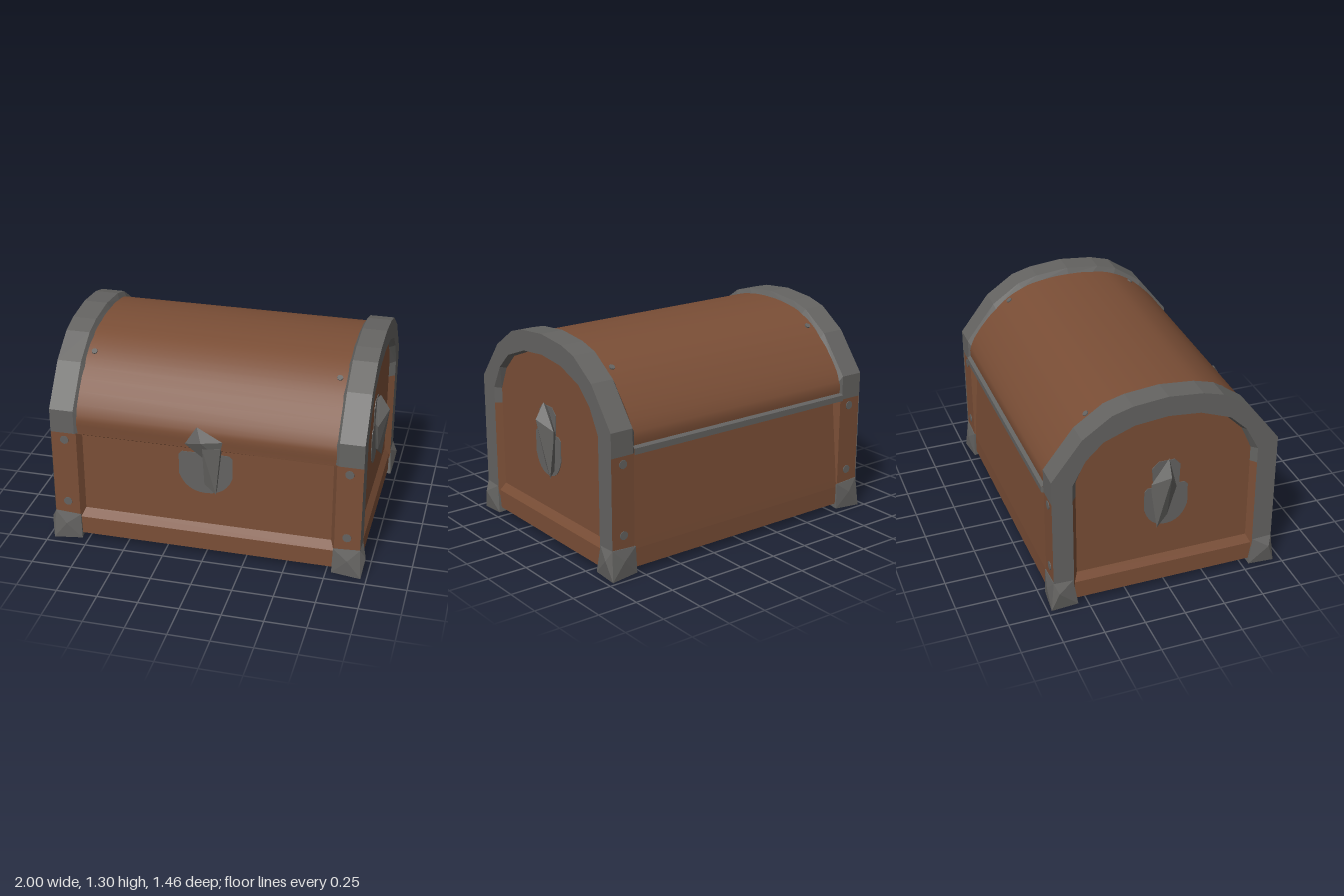
import * as THREE from 'three';
import { ConvexGeometry } from 'three/addons/geometries/ConvexGeometry.js';

const wood = new THREE.MeshStandardMaterial({ color: 0x7a4e36, side: THREE.DoubleSide });
wood.name = 'brown wood';
const iron = new THREE.MeshStandardMaterial({ color: 0x646361, side: THREE.DoubleSide });
iron.name = 'grey iron';

const END = 0.915;   // end panels, in x
const WALL = 0.648;  // front and back panels, in z

function add(parent, name, geometry, material) {
  const mesh = new THREE.Mesh(geometry, material);
  mesh.name = name;
  parent.add(mesh);
  return mesh;
}

// Surface through rows of points, faceted or smooth
function loft(rows, smooth = false) {
  const n = rows[0].length, index = [];
  for (let r = 0; r < rows.length - 1; r++) {
    for (let i = 0; i < n - 1; i++) {
      const a = r * n + i, b = a + n;
      index.push(a, b, a + 1, b, b + 1, a + 1);
    }
  }
  let geometry = new THREE.BufferGeometry();
  geometry.setAttribute('position', new THREE.Float32BufferAttribute(rows.flat(2), 3));
  geometry.setIndex(index);
  if (!smooth) geometry = geometry.toNonIndexed();
  geometry.computeVertexNormals();
  return geometry;
}

const hull = (points) => new ConvexGeometry(points.map((p) => new THREE.Vector3(...p)));

// Closed rectangle at height y, reaching to front and back
const ring = (x, y, front, back) =>
  [[x, y, front], [x, y, -back], [-x, y, -back], [-x, y, front], [x, y, front]];

// Half arch profiles as [z, y], mirrored to whole arches that start at height base
const outerArch = [[0.695, 0.89], [0.51, 1.13], [0.335, 1.25], [0.21, 1.285], [0, 1.305]];
const innerArch = [[0.57, 0.84], [0.49, 0.99], [0.385, 1.09], [0.2, 1.16], [0, 1.18]];
const panelArch = [[0.54, 0.835], [0.475, 0.98], [0.374, 1.08], [0.196, 1.15], [0, 1.17]];
const lidArch = [[0.68, 0.86], [0.5, 1.1], [0.32, 1.22], [0.17, 1.258], [0, 1.27]];

function arch(half, base) {
  const side = [[half[0][0], base], ...half];
  return [...side, ...side.slice(0, -1).reverse().map(([z, y]) => [-z, y])];
}
const at = (x, profile) => profile.map(([z, y]) => [x, y, z]);

// Plate with a rounded foot; w is its half width
function latchPlate(w) {
  const outline = new THREE.Shape();
  outline.moveTo(-w + 0.02, 0.69);
  outline.lineTo(w - 0.02, 0.69);
  outline.lineTo(w, 0.67);
  outline.lineTo(w, 0.54);
  outline.quadraticCurveTo(w * 0.75, 0.42, 0, 0.42);
  outline.quadraticCurveTo(-w * 0.75, 0.42, -w, 0.54);
  outline.lineTo(-w, 0.67);
  return new THREE.ExtrudeGeometry(outline, { depth: 0.004, bevelEnabled: false, curveSegments: 6 });
}

// Front clasp: faceted knob with a hanging tongue
function makeFrontLatch() {
  const latch = new THREE.Group();
  latch.name = 'frontLatch';
  add(latch, 'latchPlate', latchPlate(0.165), iron);
  add(latch, 'claspKnob', hull([
    [-0.04, 0.885, 0.045], [-0.115, 0.765, 0.045], [0.115, 0.8, 0.045], [0.09, 0.69, 0.04],
    [0, 0.675, 0.04], [-0.005, 0.805, 0.094], [-0.04, 0.8, 0.03], [0.06, 0.72, 0.03],
  ]), iron);
  add(latch, 'claspTongue', hull([
    [-0.005, 0.76, 0], [0, 0.76, 0.08], [0.105, 0.76, 0.055], [0.1, 0.74, 0],
    [0.075, 0.45, 0.055], [0.07, 0.46, 0], [0, 0.5, 0.035], [0, 0.52, 0],
  ]), iron);
  return latch;
}

// End clasp: one long faceted spike over two plates
function makeEndLatch() {
  const latch = new THREE.Group();
  latch.name = 'endLatch';
  add(latch, 'latchPlate', latchPlate(0.135), iron);
  const upper = new THREE.Shape([
    [-0.08, 0.68], [0.08, 0.68], [0.09, 0.82], [0.05, 0.86], [-0.05, 0.86], [-0.085, 0.82],
  ].map(([x, y]) => new THREE.Vector2(x, y)));
  add(latch, 'upperPlate', new THREE.ExtrudeGeometry(upper, { depth: 0.004, bevelEnabled: false }), iron);
  add(latch, 'claspSpike', hull([
    [-0.005, 0.885, 0.025], [0.105, 0.73, 0.03], [0.1, 0.66, 0.03], [0.07, 0.43, 0.04],
    [-0.055, 0.685, 0.025], [0, 0.79, 0.085], [0, 0.5, 0.025],
    [0, 0.85, 0], [0.06, 0.47, 0], [-0.03, 0.7, 0], [0.08, 0.7, 0],
  ]), iron);
  return latch;
}

export function createModel() {
  const model = new THREE.Group();
  model.name = 'treasureChest';
  const chest = new THREE.Group();
  chest.name = 'chest';
  chest.position.z = -0.012;
  model.add(chest);

  // Base rail, its sloped edge and the recessed walls; the back wall leans out to its rail
  add(chest, 'body', loft([
    ring(0.945, 0.04, 0.685, 0.685), ring(0.945, 0.155, 0.685, 0.685),
    ring(END, 0.205, WALL, 0.682), ring(END, 0.72, WALL, WALL),
  ]), wood);
  add(chest, 'floor', new THREE.PlaneGeometry(1.89, 1.37).rotateX(Math.PI / 2).translate(0, 0.04, 0), wood);

  // Sloped lip under the lid
  for (const sz of [-1, 1]) {
    add(chest, 'lidLip', loft([
      [[-0.8, 0.715, sz * WALL], [0.8, 0.715, sz * WALL]],
      [[-0.8, 0.742, sz * 0.68], [0.8, 0.73, sz * 0.68]],
    ]), wood);
  }

  // Barrel lid
  const curve = new THREE.CatmullRomCurve3(
    arch(lidArch, 0.735).map(([z, y]) => new THREE.Vector3(0, y, z)), false, 'centripetal');
  const lidProfile = curve.getPoints(40).map((p) => [p.z, p.y]);
  add(chest, 'lid', loft([at(-0.79, lidProfile), at(0.79, lidProfile)], true), wood);

  // Iron strip along the back edge of the lid
  add(chest, 'hingeStrip', loft([0.8, -0.8].map((x) => [
    [x, 0.785, -0.681], [x, 0.772, -0.706], [x, 0.735, -0.706], [x, 0.71, -0.65],
  ])), iron);

  const endShape = new THREE.Shape(arch(panelArch, 0.7).map(([z, y]) => new THREE.Vector2(z, y)));
  for (const sx of [-1, 1]) {
    // Arched upper part of the end panel
    add(chest, 'endPanel', new THREE.ShapeGeometry(endShape)
      .rotateY(sx * Math.PI / 2).translate(sx * END, 0, 0), wood);

    // Iron band over the lid, and the iron frame around the end panel
    add(chest, 'lidBand', loft([
      at(sx * 0.785, arch(lidArch, 0.74)), at(sx * 0.805, arch(outerArch, 0.74)),
      at(sx * 0.953, arch(outerArch, 0.74)),
    ]), iron);
    add(chest, 'endFrame', loft([
      at(sx * 0.953, arch(outerArch, 0.1)), at(sx * 0.953, arch(innerArch, 0.1)),
    ]), iron);
    add(chest, 'archBevel', loft([
      at(sx * 0.953, arch(innerArch, 0.74)), at(sx * END, arch(panelArch, 0.74)),
    ]), iron);

    for (const sz of [-1, 1]) {
      // Corner posts with bevelled inner edges
      add(chest, 'cornerPost', loft([0.12, 0.74].map((y) => [
        [sx * 0.953, y, sz * 0.69], [sx * 0.795, y, sz * 0.69], [sx * 0.77, y, sz * WALL],
      ])), wood);
      add(chest, 'postBevel', loft([0.12, 0.74].map((y) => [
        [sx * 0.953, y, sz * 0.57], [sx * END, y, sz * 0.54],
      ])), wood);

      // Rivets on the posts, and small ones on the lid
      for (const y of [0.26, 0.69]) {
        add(chest, 'rivet', new THREE.CylinderGeometry(0.027, 0.027, 0.006, 10)
          .rotateX(Math.PI / 2).translate(sx * 0.87, y, sz * 0.691), iron);
      }
      add(chest, 'lidRivet', new THREE.CylinderGeometry(0.018, 0.018, 0.02, 8)
        .rotateX(sz * 0.59).translate(sx * 0.748, 1.164, sz * 0.415), iron);

      // Faceted iron feet
      add(chest, 'cornerFoot', hull([
        [0.785, 0.01, 0.7], [0.965, 0, 0.715], [0.965, 0.01, 0.55], [0.8, 0.02, 0.55],
        [0.985, 0.125, 0.67], [0.88, 0.11, 0.715], [0.79, 0.175, 0.695],
        [0.953, 0.185, 0.695], [0.953, 0.18, 0.575], [0.8, 0.17, 0.57],
      ].map(([x, y, z]) => [sx * x, y, sz * z])), iron);
    }

    // Latches on the ends, mirrored
    const endLatch = makeEndLatch();
    endLatch.scale.x = sx;
    endLatch.rotation.y = sx * Math.PI / 2;
    endLatch.position.x = sx * END;
    model.add(endLatch);
  }

  const frontLatch = makeFrontLatch();
  frontLatch.position.z = WALL - 0.012;
  model.add(frontLatch);
  return model;
}
